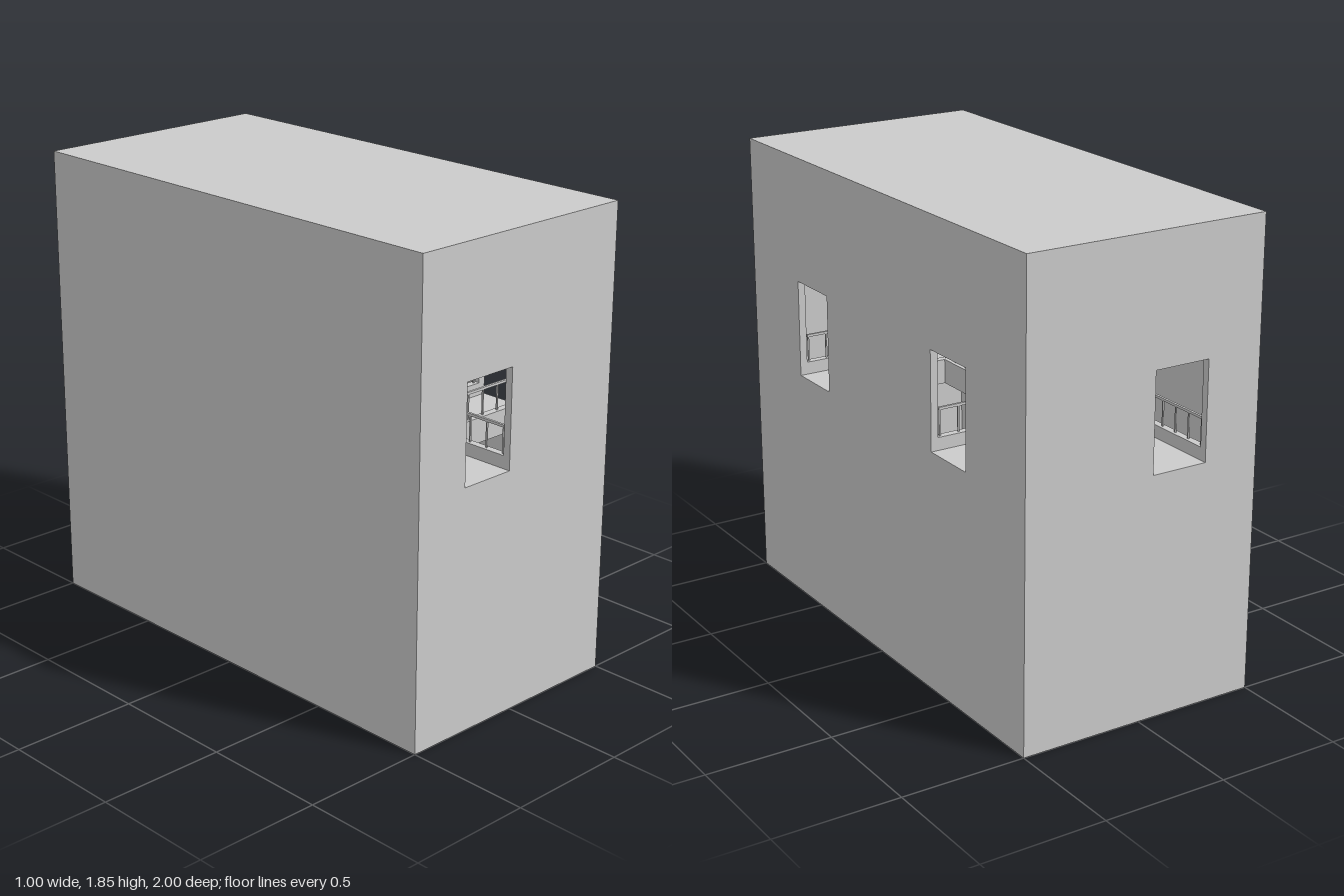
import * as THREE from 'three';

const material = new THREE.MeshStandardMaterial({ color: 0xcccccc });
const W = 1, H = 1.85, D = 2, T = 0.03;            // outer size and wall thickness
const FLOOR = 0.96, HEAD = 1.35;                   // walkway level and doorway head
const CURB_W = 0.03, CURB_TOP = 1.01, RAIL_TOP = 1.12, RAIL = 0.01, POST = 0.006;
const AISLE = [-0.27, -0.04];                      // main walkway, x range
const BRANCH = [0.385, 0.62];                      // side walkway, |z| range

function box(parent, name, x0, x1, y0, y1, z0, z1) {
  const mesh = new THREE.Mesh(new THREE.BoxGeometry(x1 - x0, y1 - y0, z1 - z0), material);
  mesh.position.set((x0 + x1) / 2, (y0 + y1) / 2, (z0 + z1) / 2);
  mesh.name = name;
  parent.add(mesh);
  return mesh;
}

function rectangle(path, a0, a1, b0, b1) {
  path.moveTo(a0, b0);
  path.lineTo(a1, b0);
  path.lineTo(a1, b1);
  path.lineTo(a0, b1);
  path.closePath();
  return path;
}

// Upright wall with doorways, each given as a horizontal range
function wall(parent, name, halfWidth, doors) {
  const shape = rectangle(new THREE.Shape(), -halfWidth, halfWidth, T, H - T);
  for (const [a, b] of doors) shape.holes.push(rectangle(new THREE.Path(), a, b, FLOOR, HEAD));
  const mesh = new THREE.Mesh(new THREE.ExtrudeGeometry(shape, { depth: T, bevelEnabled: false }), material);
  mesh.name = name;
  parent.add(mesh);
  return mesh;
}

// Straight run of curb, posts and handrail between two floor points
function railing(parent, name, x0, z0, x1, z1) {
  const run = new THREE.Group();
  run.name = name;
  const dx = x1 - x0, dz = z1 - z0, length = Math.hypot(dx, dz);
  const bar = (part, width, y0, y1) => {
    const mesh = box(run, part, -width / 2, width / 2, y0, y1, -length / 2 - width / 2, length / 2 + width / 2);
    mesh.position.x = (x0 + x1) / 2;
    mesh.position.z = (z0 + z1) / 2;
    mesh.rotation.y = Math.atan2(dx, dz);
  };
  bar('curb', CURB_W, FLOOR, CURB_TOP);
  bar('handrail', RAIL, RAIL_TOP - RAIL, RAIL_TOP);
  const count = Math.max(1, Math.round(length / 0.0772));
  for (let i = 0; i <= count; i++) {
    const x = x0 + dx * i / count, z = z0 + dz * i / count, h = POST / 2;
    box(run, 'post', x - h, x + h, CURB_TOP, RAIL_TOP - RAIL, z - h, z + h);
  }
  parent.add(run);
}

export function createModel() {
  const model = new THREE.Group();
  model.name = 'walkwayRoom';
  const hx = W / 2, hz = D / 2, ix = hx - T, iz = hz - T;

  // Outer shell
  box(model, 'base', -hx, hx, 0, T, -hz, hz);
  box(model, 'roof', -hx, hx, H - T, H, -hz, hz);
  wall(model, 'frontWall', hx, [AISLE]).position.z = iz;
  wall(model, 'backWall', hx, [AISLE]).position.z = -hz;
  box(model, 'blankSideWall', -hx, -ix, T, H - T, -iz, iz);
  const doorWall = wall(model, 'doorSideWall', iz, [BRANCH, [-BRANCH[1], -BRANCH[0]]]);
  doorWall.rotation.y = Math.PI / 2;
  doorWall.position.x = ix;

  // Walkway decks, wide enough to carry the curbs
  const deck = FLOOR - 0.05, edge = AISLE[1] + CURB_W;
  box(model, 'mainDeck', AISLE[0] - CURB_W, edge, deck, FLOOR, -iz, iz);
  for (const s of [-1, 1]) {
    const a = s * (BRANCH[0] - CURB_W), b = s * (BRANCH[1] + CURB_W);
    box(model, 'branchDeck', edge, ix, deck, FLOOR, Math.min(a, b), Math.max(a, b));
  }

  // Railings along the open edges
  const c = CURB_W / 2, endZ = iz - c, endX = ix - c;
  const inner = BRANCH[0] - c, outer = BRANCH[1] + c, rx = AISLE[1] + c;
  railing(model, 'longRailing', AISLE[0] - c, -endZ, AISLE[0] - c, endZ);
  railing(model, 'middleRailing', rx, -inner, rx, inner);
  for (const s of [-1, 1]) {
    railing(model, 'endRailing', rx, s * outer, rx, s * endZ);
    railing(model, 'branchInnerRailing', rx, s * inner, endX, s * inner);
    railing(model, 'branchOuterRailing', rx, s * outer, endX, s * outer);
  }
  return model;
}
